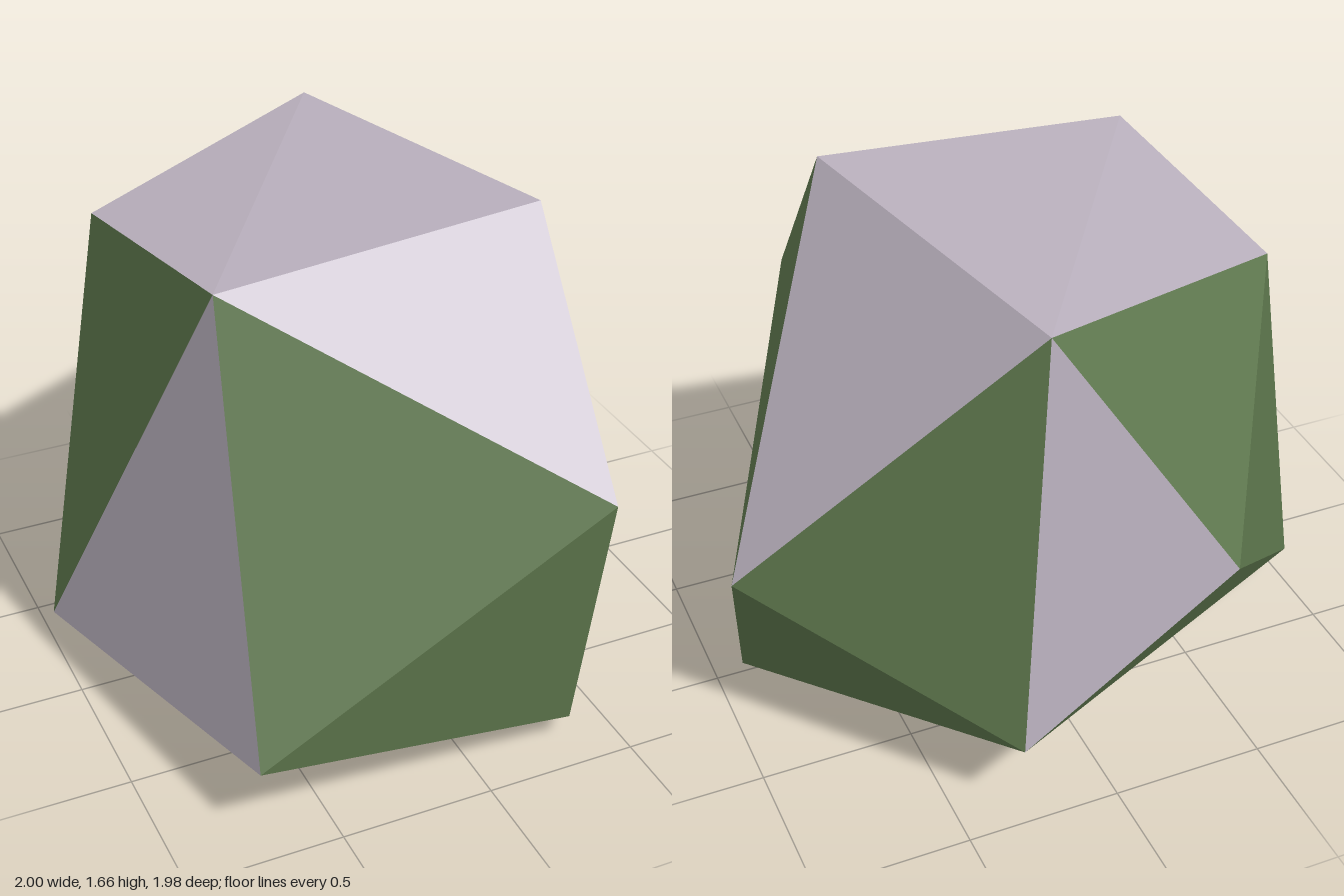
import * as THREE from 'three';

// Corner points of the faceted boulder
const P = {
  A: [-0.63, 1.58, 0.40], B: [0.43, 1.66, 0.38], C: [0.16, 1.62, -0.79], D: [-0.72, 1.49, -0.44],
  E: [0.39, 0.94, 0.99], F: [-0.73, 0.26, 0.92], G: [0.34, 0.09, 0.88], H: [1.0, 0.65, -0.32],
  I: [0.90, 0.0, 0.04], J: [-1.0, 0.13, -0.28], K: [-0.38, 0.78, -0.99], L: [0.31, 0.28, -0.98],
};

// Triangles by corner letters, grouped by colour
const STONE = 'ABC ACD AEB AJF BHC CLK';
const MOSS = 'AFE FGE ADJ BEH EIH EGI HIL HLC CKD DKJ LKJ LJI JFG JGI';

// Builds flat facets, turning every triangle outward from the boulder's middle
function facets(name, list, material) {
  const middle = new THREE.Vector3(0, 0.8, 0);
  const points = [];
  for (const face of list.split(' ')) {
    const [a, b, c] = [...face].map((k) => new THREE.Vector3(...P[k]));
    const normal = b.clone().sub(a).cross(c.clone().sub(a));
    const outward = normal.dot(a.clone().sub(middle)) > 0;
    points.push(...(outward ? [a, b, c] : [a, c, b]));
  }
  const geometry = new THREE.BufferGeometry().setFromPoints(points);
  geometry.computeVertexNormals();
  const mesh = new THREE.Mesh(geometry, material);
  mesh.name = name;
  return mesh;
}

export function createModel() {
  const stone = new THREE.MeshStandardMaterial({ color: 0xb9b0bd });
  stone.name = 'pale stone';
  const moss = new THREE.MeshStandardMaterial({ color: 0x5e774d });
  moss.name = 'moss green';

  const boulder = new THREE.Group();
  boulder.name = 'boulder';
  boulder.add(facets('stoneFacets', STONE, stone), facets('mossFacets', MOSS, moss));
  return boulder;
}
